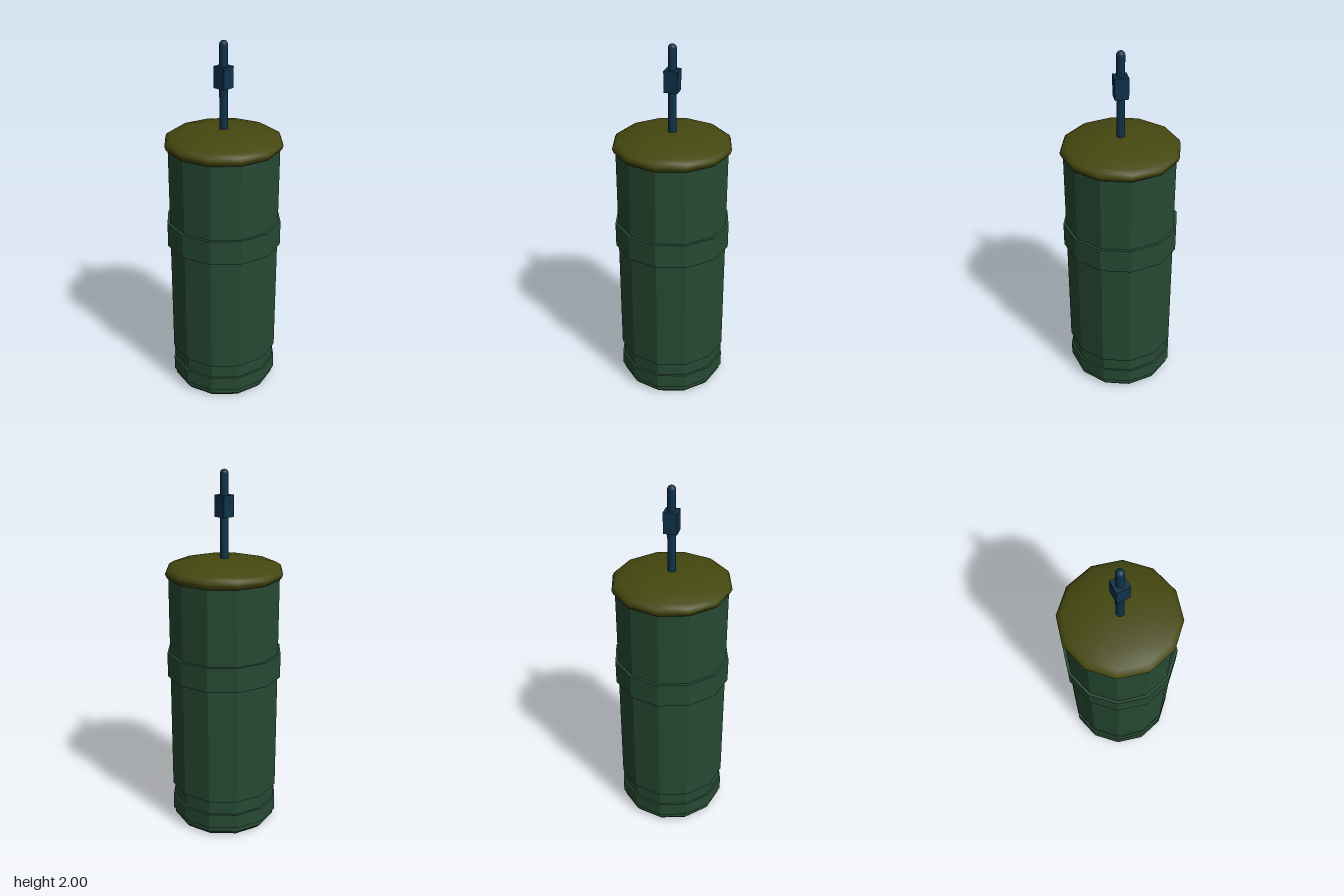
import * as THREE from 'three';
import { toCreasedNormals } from 'three/addons/utils/BufferGeometryUtils.js';

const SIDES = 12;

// Twelve-sided turned part from [radius, y] pairs, listed bottom to top
function turned(name, profile, material, faceted) {
  const points = profile.map(([r, y]) => new THREE.Vector2(r, y));
  let geometry = new THREE.LatheGeometry(points, SIDES);
  if (faceted) {
    geometry = geometry.toNonIndexed();
    geometry.computeVertexNormals();
  } else {
    geometry = toCreasedNormals(geometry, 0.9);
  }
  const mesh = new THREE.Mesh(geometry, material);
  mesh.name = name;
  return mesh;
}

export function createModel() {
  const green = new THREE.MeshStandardMaterial({ color: 0x264a33 });
  green.name = 'dark green';
  const olive = new THREE.MeshStandardMaterial({ color: 0x454810 });
  olive.name = 'olive';
  const blue = new THREE.MeshStandardMaterial({ color: 0x0f324a });
  blue.name = 'navy blue';

  const model = new THREE.Group();
  model.name = 'canister';

  // Canister: bevelled foot, bottom ring, groove and tall barrel
  model.add(turned('body', [
    [0, 0], [0.277, 0], [0.293, 0.02], [0.293, 0.052],
    [0.305, 0.052], [0.305, 0.135], [0.294, 0.135], [0.294, 0.217],
    [0.305, 0.217], [0.305, 1.45], [0, 1.45],
  ], green, true));

  // Raised band around the middle
  model.add(turned('middleBand', [
    [0.3, 0.885], [0.32, 0.885], [0.32, 1.022], [0.3, 1.022],
  ], green, true));

  // Domed lid with a rolled rim
  model.add(turned('lid', [
    [0, 1.431], [0.298, 1.431], [0.314, 1.444], [0.322, 1.465],
    [0.314, 1.483], [0.29, 1.498], [0.2, 1.521], [0.1, 1.534], [0, 1.536],
  ], olive, false));

  // Thin rod with a rounded tip
  const rod = new THREE.Mesh(new THREE.CapsuleGeometry(0.0225, 0.5, 6, 16), blue);
  rod.name = 'rod';
  rod.position.y = 2 - 0.0225 - 0.25;
  model.add(rod);

  // Square block on the rod
  const block = new THREE.Mesh(new THREE.BoxGeometry(0.073, 0.114, 0.073), blue);
  block.name = 'rodBlock';
  block.position.y = 1.811;
  model.add(block);

  return model;
}
